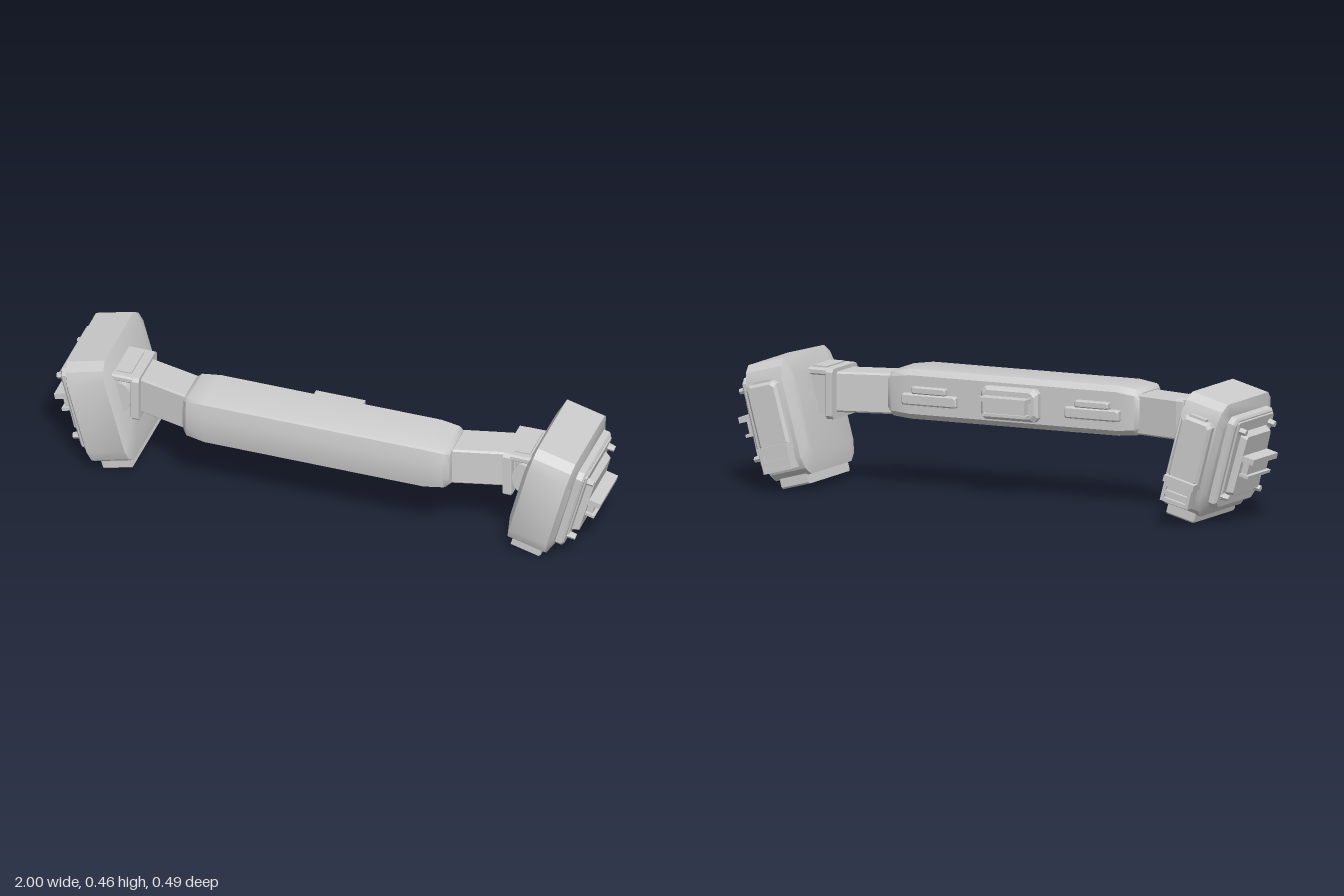
import * as THREE from 'three';
import { toCreasedNormals } from 'three/addons/utils/BufferGeometryUtils.js';

const TILT = -Math.PI / 12;

// Chamfered rectangle in the y/z plane, as eight [y, z] points
function octagon(y0, y1, z0, z1, cy, cz) {
  return [
    [y1, z0 + cz], [y1, z1 - cz], [y1 - cy, z1], [y0 + cy, z1],
    [y0, z1 - cz], [y0, z0 + cz], [y0 + cy, z0], [y1 - cy, z0],
  ];
}

// Rounded rectangle: the same corners with a bulged midpoint
function rounded(y0, y1, z0, z1, cy, cz) {
  const p = octagon(y0, y1, z0, z1, cy, cz), my = cy * 0.36, mz = cz * 0.36;
  return [
    p[0], p[1], [y1 - my, z1 - mz], p[2], p[3], [y0 + my, z1 - mz],
    p[4], p[5], [y0 + my, z0 + mz], p[6], p[7], [y1 - my, z0 + mz],
  ];
}

// Skin a list of [x, points] sections, with closed ends
function loft(sections, crease = 0.3) {
  const pos = [], n = sections[0][1].length, last = sections.length - 1;
  const put = (s, i) => pos.push(sections[s][0], ...sections[s][1][i % n]);
  for (let s = 0; s < last; s++) {
    for (let i = 0; i < n; i++) {
      put(s, i); put(s, i + 1); put(s + 1, i + 1);
      put(s, i); put(s + 1, i + 1); put(s + 1, i);
    }
  }
  for (let i = 1; i < n - 1; i++) {
    put(last, 0); put(last, i); put(last, i + 1);
    put(0, 0); put(0, i + 1); put(0, i);
  }
  const g = new THREE.BufferGeometry();
  g.setAttribute('position', new THREE.Float32BufferAttribute(pos, 3));
  return toCreasedNormals(g, crease);
}

// Block with chamfered corners c and an end face at x1 shrunk by a bevel
function block(x0, x1, y0, y1, z0, z1, c, bevel) {
  const b = bevel;
  return loft([
    [x0, octagon(y0, y1, z0, z1, c, c)],
    [x1 - b, octagon(y0, y1, z0, z1, c, c)],
    [x1, octagon(y0 + b, y1 - b, z0 + b, z1 - b, c, c)],
  ]);
}

// Same block facing backwards: depth d runs towards -z
function backBlock(x0, x1, y0, y1, d0, d1, c, bevel) {
  return block(d0, d1, y0, y1, x0, x1, c, bevel).rotateY(Math.PI / 2);
}

function box(x0, x1, y0, y1, z0, z1) {
  return new THREE.BoxGeometry(x1 - x0, y1 - y0, z1 - z0)
    .translate((x0 + x1) / 2, (y0 + y1) / 2, (z0 + z1) / 2);
}

// Mirrored copy across x = 0 with its faces turned the right way out
function mirrored(geo) {
  const g = geo.index ? geo.toNonIndexed() : geo.clone();
  g.scale(-1, 1, 1);
  for (const key of ['position', 'normal']) {
    const a = g.attributes[key];
    for (let i = 0; i < a.count; i += 3) {
      const p = [a.getX(i + 1), a.getY(i + 1), a.getZ(i + 1)];
      a.setXYZ(i + 1, a.getX(i + 2), a.getY(i + 2), a.getZ(i + 2));
      a.setXYZ(i + 2, ...p);
    }
  }
  return g;
}

export function createModel() {
  const model = new THREE.Group();
  model.name = 'headset';
  const grey = new THREE.MeshStandardMaterial({ color: 0xcccccc });
  grey.name = 'lightGrey';

  const add = (name, geo) => {
    const mesh = new THREE.Mesh(geo, grey);
    mesh.name = name;
    model.add(mesh);
  };
  const pair = (name, geo) => {
    add(name + 'Left', geo);
    add(name + 'Right', mirrored(geo));
  };
  // Pod parts are laid out upright, then leaned outwards
  const pod = (name, geo) => pair(name, geo.rotateZ(TILT));

  // Central band with narrowed ends and a bowed front
  const bandSection = (y0, y1, z0, z1) => [
    [y1, z0 + 0.02], [y1, z1 - 0.022], [y1 - 0.007, z1 - 0.008],
    [(y0 + y1) / 2 + 0.03, z1], [(y0 + y1) / 2 - 0.03, z1],
    [y0 + 0.012, z1 - 0.009], [y0, z1 - 0.03], [y0, z0 + 0.02],
    [y0 + 0.02, z0], [y1 - 0.02, z0],
  ];
  const bandEnd = bandSection(0.262, 0.4, 0.05, 0.216);
  const bandNear = bandSection(0.252, 0.412, 0.04, 0.236);
  const bandFull = bandSection(0.246, 0.421, 0.038, 0.246);
  add('band', loft([
    [-0.487, bandEnd], [-0.47, bandNear], [-0.4, bandFull],
    [0.4, bandFull], [0.47, bandNear], [0.487, bandEnd],
  ], 0.7));

  // Button block on the back of the band, with a framed recess
  add('buttonBase', backBlock(-0.11, 0.11, 0.275, 0.39, -0.045, -0.005, 0.015, 0.012));
  add('buttonLedge', box(-0.09, 0.09, 0.345, 0.36, -0.045, 0.01));
  add('buttonFace', box(-0.075, 0.075, 0.3, 0.345, -0.02, 0.01));
  add('buttonLip', box(-0.085, 0.085, 0.292, 0.302, -0.03, 0.01));

  // Slim grips either side of the button
  pair('grip', backBlock(0.21, 0.42, 0.3, 0.34, -0.045, -0.016, 0.005, 0.005));
  pair('gripBar', backBlock(0.25, 0.38, 0.34, 0.365, -0.045, -0.016, 0.004, 0.004));
  for (let i = 0; i < 7; i++) {
    const x = 0.24 + i * 0.024;
    pair('gripRidge' + i, box(x, x + 0.01, 0.294, 0.301, 0.02, 0.04));
  }

  // Arms running back from the band to the pods
  pair('arm', loft([
    [0.45, octagon(0.256, 0.397, 0.06, 0.195, 0.006, 0.006)],
    [0.7, octagon(0.256, 0.397, 0.0, 0.132, 0.006, 0.006)],
  ]));

  // Pod brackets: inner plate, top flange, core and hinge pin
  pair('bracketPlate', block(0.665, 0.695, 0.234, 0.41, -0.025, 0.168, 0.012, 0.004));
  pair('bracketFlange', block(0.69, 0.79, 0.385, 0.41, -0.02, 0.165, 0.006, 0.004));
  pair('bracketRaisedTop', box(0.7, 0.755, 0.405, 0.415, 0.005, 0.14));
  pair('bracketCore', box(0.69, 0.77, 0.25, 0.39, -0.015, 0.125));
  pair('hingePin', toCreasedNormals(new THREE.CylinderGeometry(0.06, 0.06, 0.16, 24), 0.5)
    .rotateX(Math.PI / 2).scale(0.65, 1, 1).translate(0.735, 0.315, 0.08));

  // Pod body with rounded corners and bevelled inner and outer faces
  const podSection = (d, dz) =>
    rounded(0.237 + d, 0.649 - d, -0.195 + dz, 0.21 - dz, 0.068 - d * 0.4, 0.05 - dz * 0.3);
  pod('podBody', loft([
    [0.628, podSection(0.06, 0.035)], [0.645, podSection(0, 0)],
    [0.787, podSection(0, 0)], [0.803, podSection(0.04, 0.025)],
  ], 0.5));
  pod('podFoot', block(0.66, 0.77, 0.205, 0.25, -0.152, 0.162, 0.006, 0.004));

  // Outer cover: two stepped plates and a tapered panel
  pod('coverPlate', block(0.79, 0.832, 0.276, 0.608, -0.147, 0.157, 0.02, 0.007));
  pod('coverStep', block(0.82, 0.838, 0.31, 0.596, -0.126, 0.136, 0.006, 0.002));
  pod('coverPanel', loft([
    [0.83, [[0.56, -0.086], [0.56, 0.096], [0.545, 0.104], [0.337, 0.112],
      [0.324, 0.1], [0.324, -0.09], [0.337, -0.102], [0.545, -0.094]]],
    [0.862, [[0.545, -0.078], [0.545, 0.088], [0.535, 0.094], [0.342, 0.104],
      [0.334, 0.094], [0.334, -0.084], [0.342, -0.094], [0.535, -0.084]]],
  ]));

  // Latch on the panel
  pod('latchLedge', box(0.85, 0.906, 0.456, 0.477, -0.086, 0.097));
  pod('latchBody', box(0.85, 0.885, 0.412, 0.457, -0.07, 0.08));
  pod('latchLip', box(0.85, 0.897, 0.402, 0.413, -0.08, 0.09));

  // Cover bolts
  for (const [i, [y, z]] of [[0.564, 0.113], [0.564, -0.105], [0.324, 0.125], [0.324, -0.115]].entries()) {
    pod('bolt' + i, toCreasedNormals(new THREE.CylinderGeometry(0.011, 0.014, 0.035, 6), 0.3)
      .rotateZ(-Math.PI / 2).translate(0.845, y, z));
  }

  // Back of the pod: long cover, side strip and slatted vent
  pod('backCover', backBlock(0.66, 0.78, 0.345, 0.582, 0.19, 0.225, 0.012, 0.01));
  pod('backStrip', box(0.685, 0.75, 0.355, 0.59, -0.212, -0.19));
  pod('ventBody', box(0.665, 0.775, 0.272, 0.348, -0.23, -0.18));
  pod('ventCap', box(0.66, 0.78, 0.34, 0.363, -0.246, -0.19));
  for (let i = 0; i < 3; i++) {
    const y = 0.272 + i * 0.027;
    pod('ventSlat' + i, box(0.675, 0.765, y, y + 0.014, -0.244, -0.225));
  }
  for (const [side, x] of [['Inner', 0.665], ['Outer', 0.763]]) {
    pod('ventSide' + side, box(x, x + 0.012, 0.272, 0.342, -0.242, -0.225));
  }

  return model;
}
